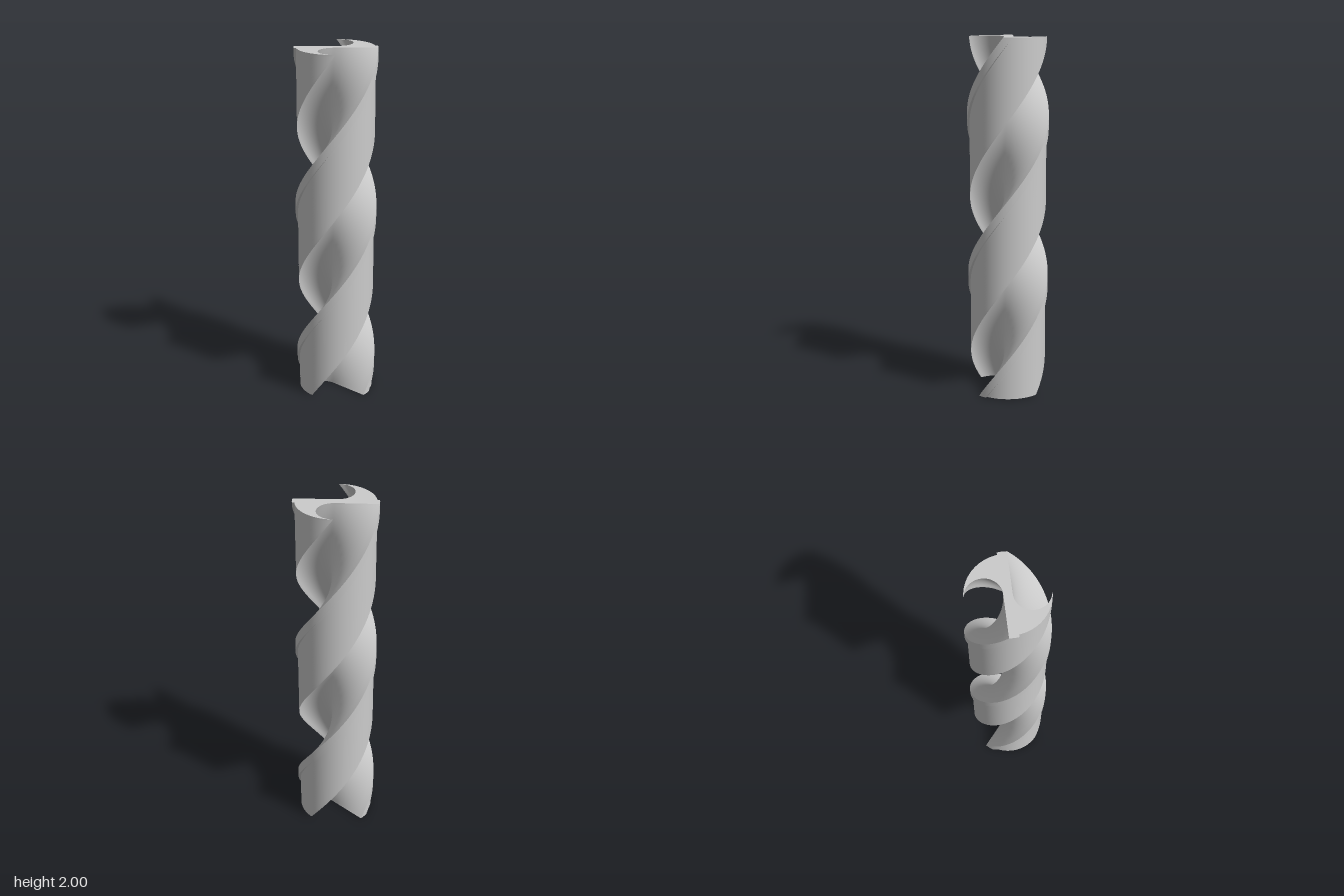
import * as THREE from 'three';

const HEIGHT = 2, HALF_TURN = 0.9, ROWS = 160;
const BODY_R = 0.212, MARGIN_R = 0.225;
const rad = THREE.MathUtils.degToRad;
const material = new THREE.MeshStandardMaterial({ color: 0xcccccc });

// Points (x, z) on an arc, angles measured from +x towards +z
function arc(cx, cz, r, from, to, n) {
  return Array.from({ length: n + 1 }, (_, i) => {
    const a = rad(from + (to - from) * i / n);
    return new THREE.Vector2(cx + r * Math.cos(a), cz + r * Math.sin(a));
  });
}

// Half of the two-fold cross-section at the top, one run per smooth surface
function halfSection() {
  const margin = arc(0, 0, MARGIN_R, 223.4, 236.2, 5);
  const land = arc(0, 0, BODY_R, 141.5, 223.2, 24);
  const lip = margin[margin.length - 1].clone().negate();
  const gullet = arc(-0.091, 0.073, 0.094, -41, -218, 30);
  gullet[gullet.length - 1].copy(land[0]);
  const face = Array.from({ length: 8 }, (_, i) => lip.clone().lerp(gullet[0], i / 8));
  return {
    flute: [...face, ...gullet],
    land,
    marginStep: [land[land.length - 1], margin[0]],
    margin,
  };
}

// Section point carried along the helix to height y
function twist(p, y) {
  const a = (HEIGHT - y) * Math.PI / HALF_TURN;
  return p.clone().rotateAround(new THREE.Vector2(), a);
}

// Sweep a run of section points up the helix
function helicalStrip(points) {
  const pos = [], index = [], n = points.length;
  for (let i = 0; i <= ROWS; i++) {
    const y = HEIGHT * i / ROWS;
    for (const p of points) {
      const q = twist(p, y);
      pos.push(q.x, y, q.y);
    }
  }
  for (let i = 0; i < ROWS; i++) {
    for (let j = 0; j < n - 1; j++) {
      const a = i * n + j, b = a + n;
      index.push(a, b, a + 1, b, b + 1, a + 1);
    }
  }
  const geo = new THREE.BufferGeometry();
  geo.setAttribute('position', new THREE.Float32BufferAttribute(pos, 3));
  geo.setIndex(index);
  geo.computeVertexNormals();
  return geo;
}

// Flat end face at height y, facing up or down
function endFace(outline, y, up) {
  const pts = outline.map(p => {
    const q = twist(p, y);
    return new THREE.Vector2(q.x, up ? -q.y : q.y);
  });
  const geo = new THREE.ShapeGeometry(new THREE.Shape(pts));
  geo.rotateX(up ? -Math.PI / 2 : Math.PI / 2);
  geo.translate(0, y, 0);
  return geo;
}

export function createModel() {
  const group = new THREE.Group();
  group.name = 'twistDrillBody';
  const add = (name, geo) => {
    const mesh = new THREE.Mesh(geo, material);
    mesh.name = name;
    group.add(mesh);
  };

  // Two identical sets of flute, land and raised margin
  const outline = [];
  const section = halfSection();
  for (const side of [1, -1]) {
    for (const [name, run] of Object.entries(section)) {
      const points = run.map(p => p.clone().multiplyScalar(side));
      add(name + (side > 0 ? 'A' : 'B'), helicalStrip(points));
      outline.push(...points.slice(0, -1));
    }
  }

  // Flat ends
  add('topFace', endFace(outline, HEIGHT, true));
  add('bottomFace', endFace(outline, 0, false));
  return group;
}
